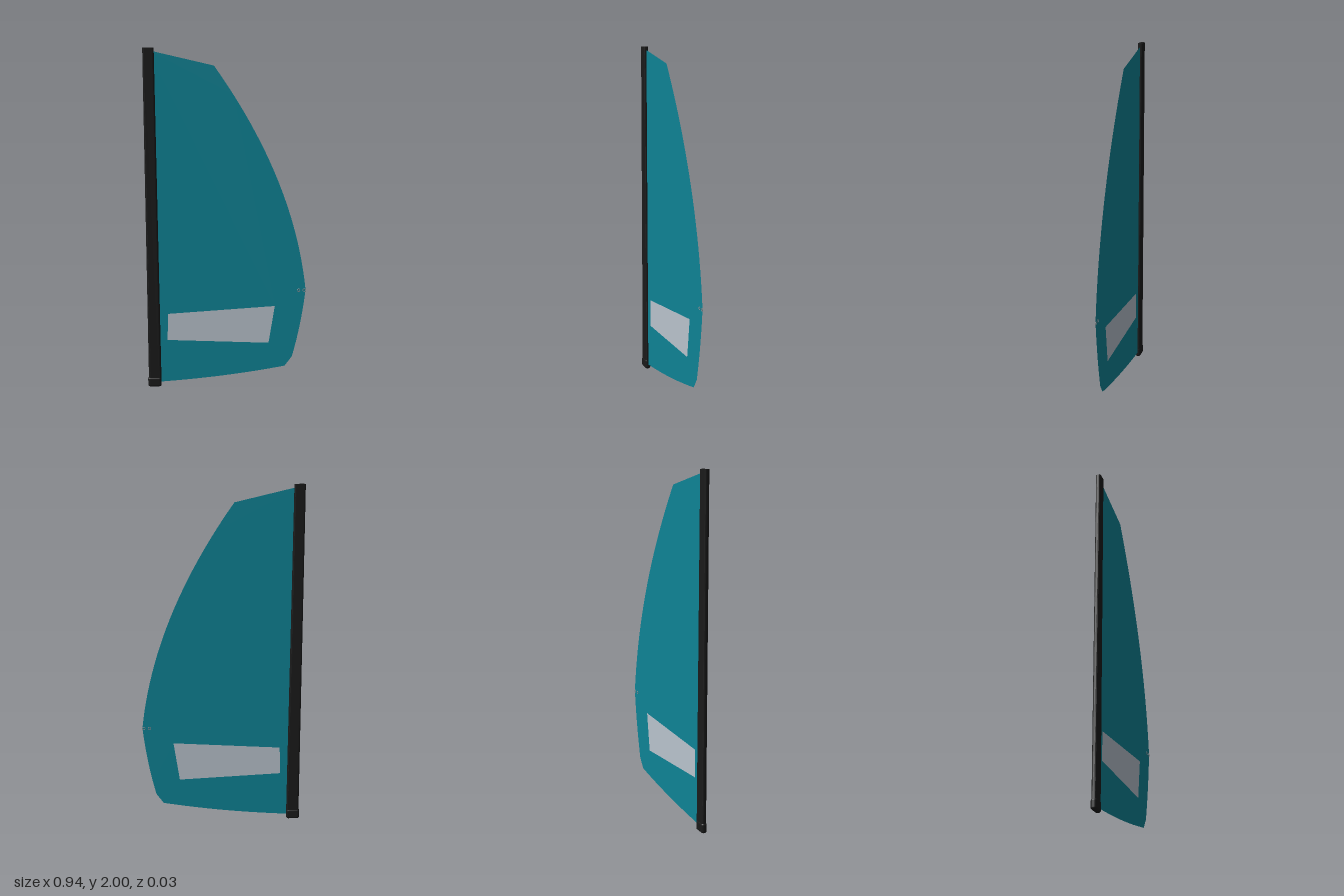
import * as THREE from 'three';
import { RoundedBoxGeometry } from 'three/addons/geometries/RoundedBoxGeometry.js';

const material = (name, color, side = THREE.FrontSide) => {
  const m = new THREE.MeshStandardMaterial({ color, side });
  m.name = name;
  return m;
};

export function createModel() {
  const group = new THREE.Group();
  group.name = 'sail';
  const teal = material('tealCloth', 0x0e8496, THREE.DoubleSide);
  const clear = material('paleWindow', 0xbac4ce, THREE.DoubleSide);
  const black = material('blackSleeve', 0x1a1a1a);
  const steel = material('greyMetal', 0x8a9096);
  const add = (name, geometry, mat, x = 0, y = 0, z = 0) => {
    const mesh = new THREE.Mesh(geometry, mat);
    mesh.name = name;
    mesh.position.set(x, y, z);
    group.add(mesh);
    return mesh;
  };

  // Sail cloth: straight head, bowed leech, clipped clew and curved foot
  const cloth = new THREE.Shape();
  cloth.moveTo(-0.43, 1.986);
  cloth.lineTo(-0.071, 1.902);
  cloth.quadraticCurveTo(0.388, 1.257, 0.464, 0.595);
  cloth.quadraticCurveTo(0.441, 0.37, 0.389, 0.177);
  cloth.lineTo(0.347, 0.119);
  cloth.quadraticCurveTo(-0.02, 0.05, -0.43, 0.026);
  cloth.closePath();

  // Window pane set into a matching opening
  const corners = [[-0.345, 0.455], [0.284, 0.496], [0.249, 0.266], [-0.351, 0.292]]
    .map(([x, y]) => new THREE.Vector2(x, y));
  cloth.holes.push(new THREE.Path(corners));
  add('cloth', new THREE.ShapeGeometry(cloth, 24), teal);
  add('window', new THREE.ShapeGeometry(new THREE.Shape(corners)), clear);

  // Luff sleeve: flat oval tube, its trailing edge narrowing upward
  const w = 0.0375, d = 0.014, r = 0.012;
  const oval = new THREE.Shape();
  oval.moveTo(-w + r, -d);
  oval.lineTo(w - r, -d);
  oval.quadraticCurveTo(w, -d, w, 0);
  oval.quadraticCurveTo(w, d, w - r, d);
  oval.lineTo(-w + r, d);
  oval.quadraticCurveTo(-w, d, -w, 0);
  oval.quadraticCurveTo(-w, -d, -w + r, -d);
  const sleeve = new THREE.ExtrudeGeometry(oval, { depth: 1.97, bevelEnabled: false, curveSegments: 6 });
  sleeve.rotateX(-Math.PI / 2);
  const p = sleeve.attributes.position;
  for (let i = 0; i < p.count; i++) {
    const taper = 1 - 0.16 * p.getY(i) / 1.97;
    p.setX(i, -w + (p.getX(i) + w) * taper);
  }
  sleeve.computeVertexNormals();
  add('luffSleeve', sleeve, black, -0.428, 0.03, 0);

  // Rounded boot at the foot of the sleeve
  add('mastBoot', new RoundedBoxGeometry(0.08, 0.062, 0.034, 4, 0.014), black, -0.43, 0.031, 0);

  // Clew eyelets
  for (const x of [0.423, 0.456]) {
    add('eyelet', new THREE.TorusGeometry(0.008, 0.002, 6, 20), steel, x, 0.592, 0);
  }
  return group;
}
